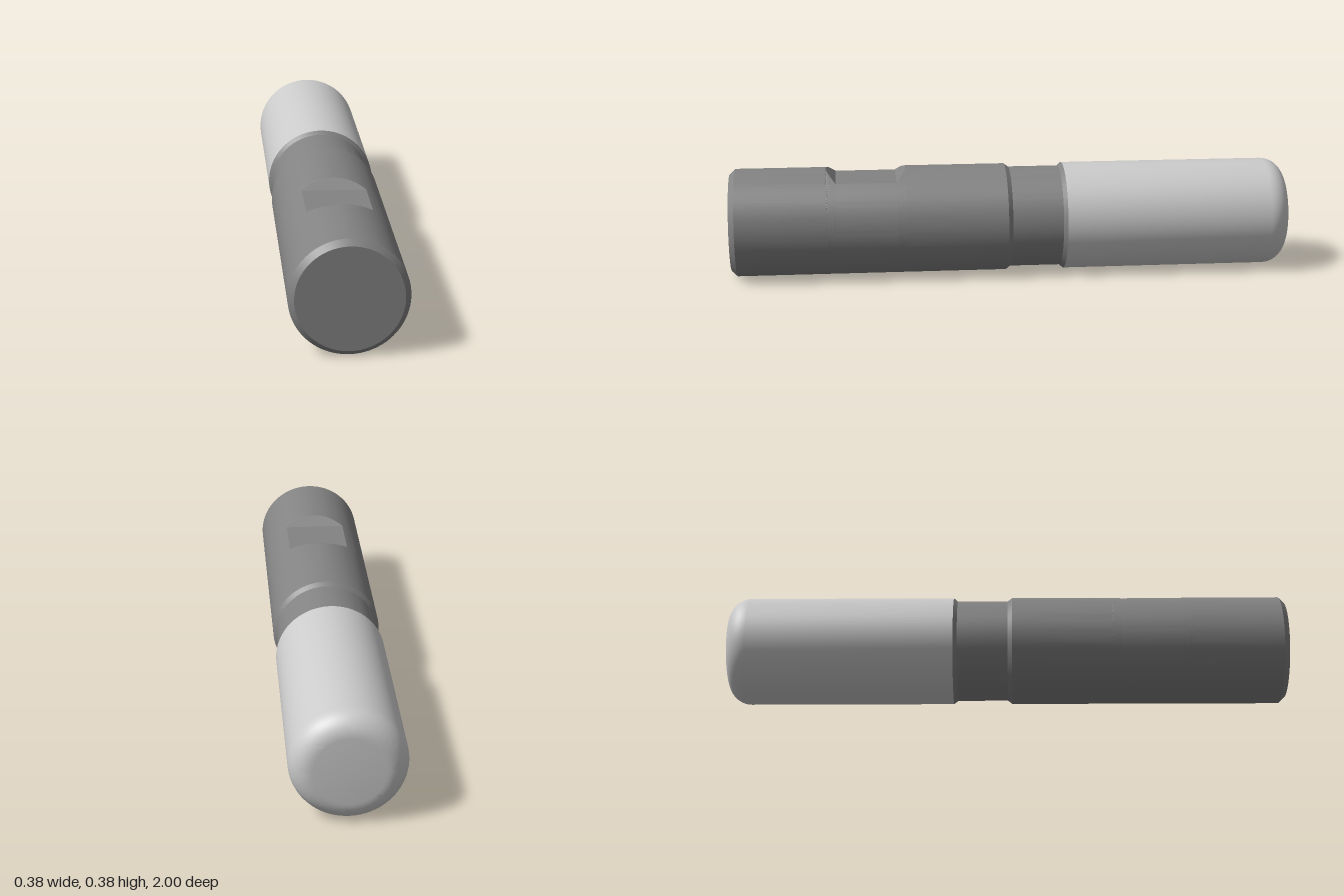
import * as THREE from 'three';
import { toCreasedNormals } from 'three/addons/utils/BufferGeometryUtils.js';

const R = 0.192, NECK = 0.18, AXIS_Y = 0.193, SIDES = 96;
const FLAT_H = 0.158; // height of the clamping flat above the axis
const SHANK_END = 0.02, CUT_START = -0.19, CORNER = 0.075;

const dark = new THREE.MeshStandardMaterial({ color: 0x838383 });
const light = new THREE.MeshStandardMaterial({ color: 0xcccccc });

function part(name, geometry, material) {
  const mesh = new THREE.Mesh(toCreasedNormals(geometry, 0.35), material);
  mesh.name = name;
  return mesh;
}

// Turned part along z; profile is [radius, z] with z rising
function turned(name, profile, material) {
  const points = profile.map(([r, z]) => new THREE.Vector2(r, z));
  return part(name, new THREE.LatheGeometry(points, SIDES).rotateX(Math.PI / 2), material);
}

// Skin over open cross-sections with equal point counts
function loft(sections) {
  const n = sections[0].length, index = [];
  for (let i = 0; i < sections.length - 1; i++) {
    for (let j = 0; j < n - 1; j++) {
      const a = i * n + j, b = a + n;
      index.push(a, b, a + 1, a + 1, b, b + 1);
    }
  }
  const geometry = new THREE.BufferGeometry();
  geometry.setAttribute('position', new THREE.Float32BufferAttribute(sections.flat(2), 3));
  geometry.setIndex(index);
  return geometry;
}

export function createModel() {
  const model = new THREE.Group();
  model.name = 'roundShankTool';
  const body = new THREE.Group();
  body.name = 'body';
  body.position.y = AXIS_Y;
  model.add(body);

  // Notch rows [z, half angle of the cut]: 45 degree ramp, flat, ramp
  const cut = Math.acos(FLAT_H / R), steps = 12, notch = [];
  for (let i = 0; i <= steps; i++) {
    const a = cut * i / steps;
    notch.push([0.376 + R * (1 - Math.cos(a)), a]);
  }
  for (let i = steps; i >= 0; i--) {
    const a = cut * i / steps;
    notch.push([0.659 - R * (1 - Math.cos(a)), a]);
  }

  // Shank skin: an arc that opens at the top where the notch is cut
  const rows = [[SHANK_END, 0], ...notch, [0.98, 0]];
  const arcs = rows.map(([z, a]) => Array.from({ length: SIDES + 1 }, (_, j) => {
    const t = a + (2 * Math.PI - 2 * a) * j / SIDES;
    return [R * Math.sin(t), R * Math.cos(t), z];
  }));
  body.add(part('shank', loft(arcs), dark));

  // Clamping flat with its two ramps
  const chords = notch.map(([z, a]) =>
    [-1, 1].map(s => [s * R * Math.sin(a), R * Math.cos(a), z]));
  body.add(part('clampingFlat', loft(chords), dark));

  // Chamfered shank end
  body.add(turned('shankEnd', [[R, 0.98], [0.173, 1], [0, 1]], dark));

  // Relieved neck, sloping up to full size at both ends
  body.add(turned('neck',
    [[R, CUT_START], [NECK, CUT_START + 0.014], [NECK, 0.004], [R, SHANK_END]], dark));

  // Cutting end with rounded corner
  const profile = [[0, -1]];
  for (let i = 0; i <= 10; i++) {
    const t = Math.PI / 2 * i / 10;
    profile.push([R - CORNER + CORNER * Math.sin(t), -1 + CORNER - CORNER * Math.cos(t)]);
  }
  profile.push([R, CUT_START]);
  body.add(turned('cuttingEnd', profile, light));

  return model;
}
